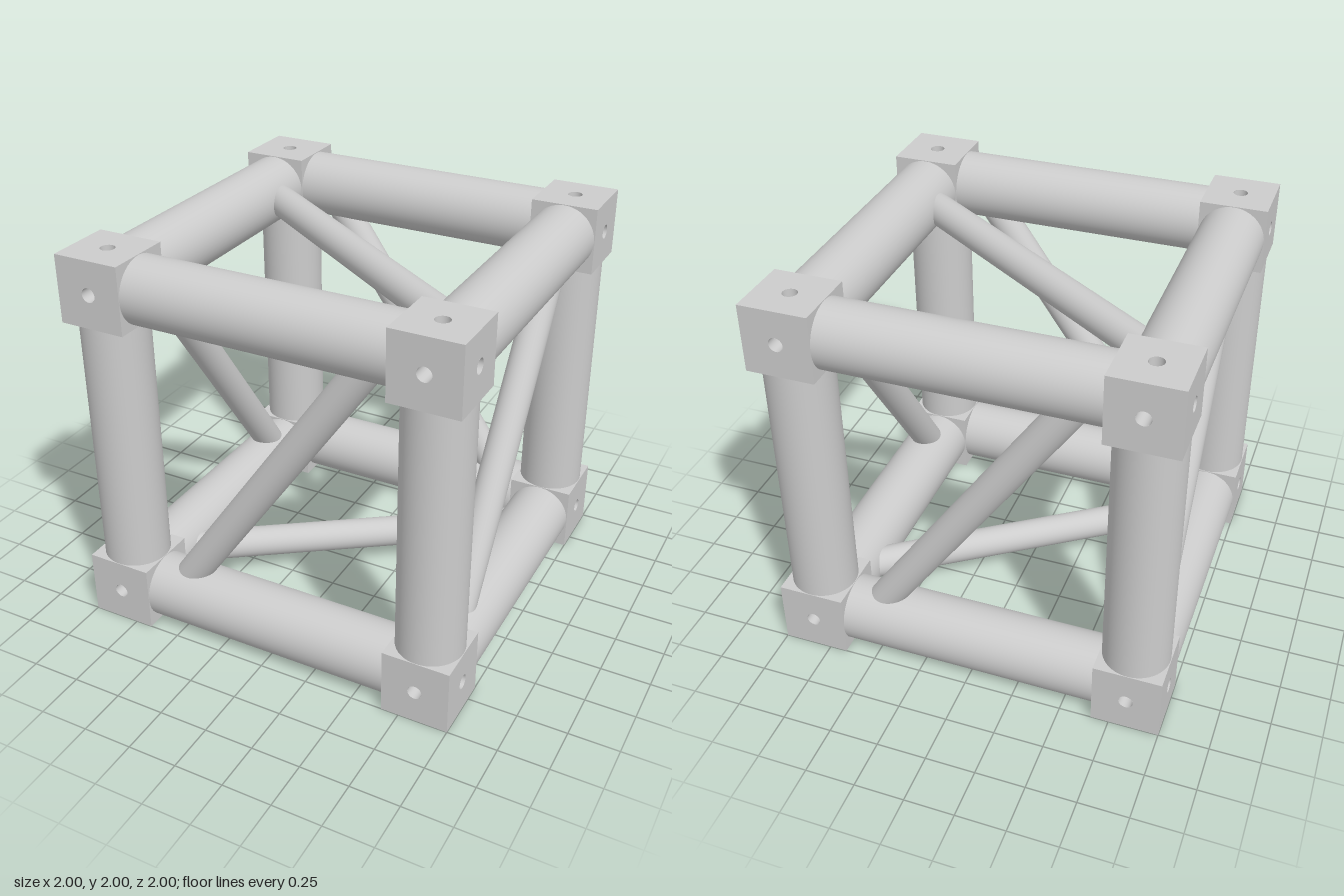
import * as THREE from 'three';

const C = 0.83;        // distance of the frame axes from the centre
const HALF = 0.17;     // half size of a corner block
const TUBE_R = 0.167;
const STRUT_R = 0.081;
const HOLE_R = 0.036;
const HOLE_DEPTH = 0.12;

export function createModel() {
  const model = new THREE.Group();
  model.name = 'cubeFrame';
  const steel = new THREE.MeshStandardMaterial({ color: 0xcccccc });
  steel.name = 'light grey metal';
  steel.side = THREE.DoubleSide; // block faces and bores are open surfaces

  const add = (parent, name, geometry) => {
    const mesh = new THREE.Mesh(geometry, steel);
    mesh.name = name;
    parent.add(mesh);
    return mesh;
  };

  // Round bar between two points, measured from the frame centre
  const bar = (name, a, b, radius) => {
    const dir = b.clone().sub(a);
    const mesh = add(model, name, new THREE.CylinderGeometry(radius, radius, dir.length(), 48));
    mesh.position.copy(a).add(b).multiplyScalar(0.5);
    mesh.position.y += 1;
    mesh.quaternion.setFromUnitVectors(new THREE.Vector3(0, 1, 0), dir.normalize());
  };

  // Twelve edge tubes
  for (const axis of [0, 1, 2]) {
    for (const s of [-1, 1]) {
      for (const t of [-1, 1]) {
        const ends = [-1, 1].map((e) => {
          const p = [0, 0, 0];
          p[axis] = e * (C - HALF + 0.01);
          p[(axis + 1) % 3] = s * C;
          p[(axis + 2) % 3] = t * C;
          return new THREE.Vector3(...p);
        });
        bar('edgeTube', ends[0], ends[1], TUBE_R);
      }
    }
  }

  // One diagonal strut on each of the six sides, crossed on opposite sides
  const U = 0.56, V = 0.805;
  for (const s of [-1, 1]) {
    const v = (x, y, z) => new THREE.Vector3(x, y, z);
    bar(s > 0 ? 'frontStrut' : 'backStrut', v(-s * U, -V, s * C), v(s * U, V, s * C), STRUT_R);
    bar(s > 0 ? 'leftStrut' : 'rightStrut', v(s * C, -V, s * U), v(s * C, V, -s * U), STRUT_R);
    bar(s > 0 ? 'topStrut' : 'bottomStrut', v(-V, s * C, -s * U), v(V, s * C, s * U), STRUT_R);
  }

  // Square face with a bolt hole
  const square = new THREE.Shape([
    new THREE.Vector2(-HALF, -HALF), new THREE.Vector2(HALF, -HALF),
    new THREE.Vector2(HALF, HALF), new THREE.Vector2(-HALF, HALF),
  ]);
  square.holes.push(new THREE.Path().absarc(0, 0, HOLE_R, 0, Math.PI * 2, true));
  const outerFace = new THREE.ShapeGeometry(square, 24).translate(0, 0, HALF);
  const innerFace = new THREE.PlaneGeometry(2 * HALF, 2 * HALF).translate(0, 0, HALF);
  const bore = new THREE.CylinderGeometry(HOLE_R, HOLE_R, HOLE_DEPTH, 24, 1, true)
    .rotateX(Math.PI / 2).translate(0, 0, HALF - HOLE_DEPTH / 2);
  const boreFloor = new THREE.CircleGeometry(HOLE_R, 24).translate(0, 0, HALF - HOLE_DEPTH);

  // Corner block: three drilled outer faces (+x, +y, +z) and three plain inner ones
  const H = Math.PI / 2;
  const makeBlock = () => {
    const block = new THREE.Group();
    block.name = 'cornerBlock';
    for (const [rx, ry] of [[0, 0], [0, H], [-H, 0]]) {
      for (const [name, g] of [['drilledFace', outerFace], ['bore', bore], ['boreFloor', boreFloor]]) {
        add(block, name, g).rotation.set(rx, ry, 0);
      }
    }
    for (const [rx, ry] of [[0, 2 * H], [0, -H], [H, 0]]) {
      add(block, 'plainFace', innerFace).rotation.set(rx, ry, 0);
    }
    block.position.set(C, C, C);
    return block;
  };

  // Eight corners: four turns about y, for the top and the flipped bottom
  for (const flip of [0, Math.PI]) {
    for (let i = 0; i < 4; i++) {
      const corner = new THREE.Group();
      corner.name = flip ? 'bottomCorner' : 'topCorner';
      corner.add(makeBlock());
      corner.rotation.set(flip, i * H, 0, 'YXZ');
      corner.position.y = 1;
      model.add(corner);
    }
  }
  return model;
}
